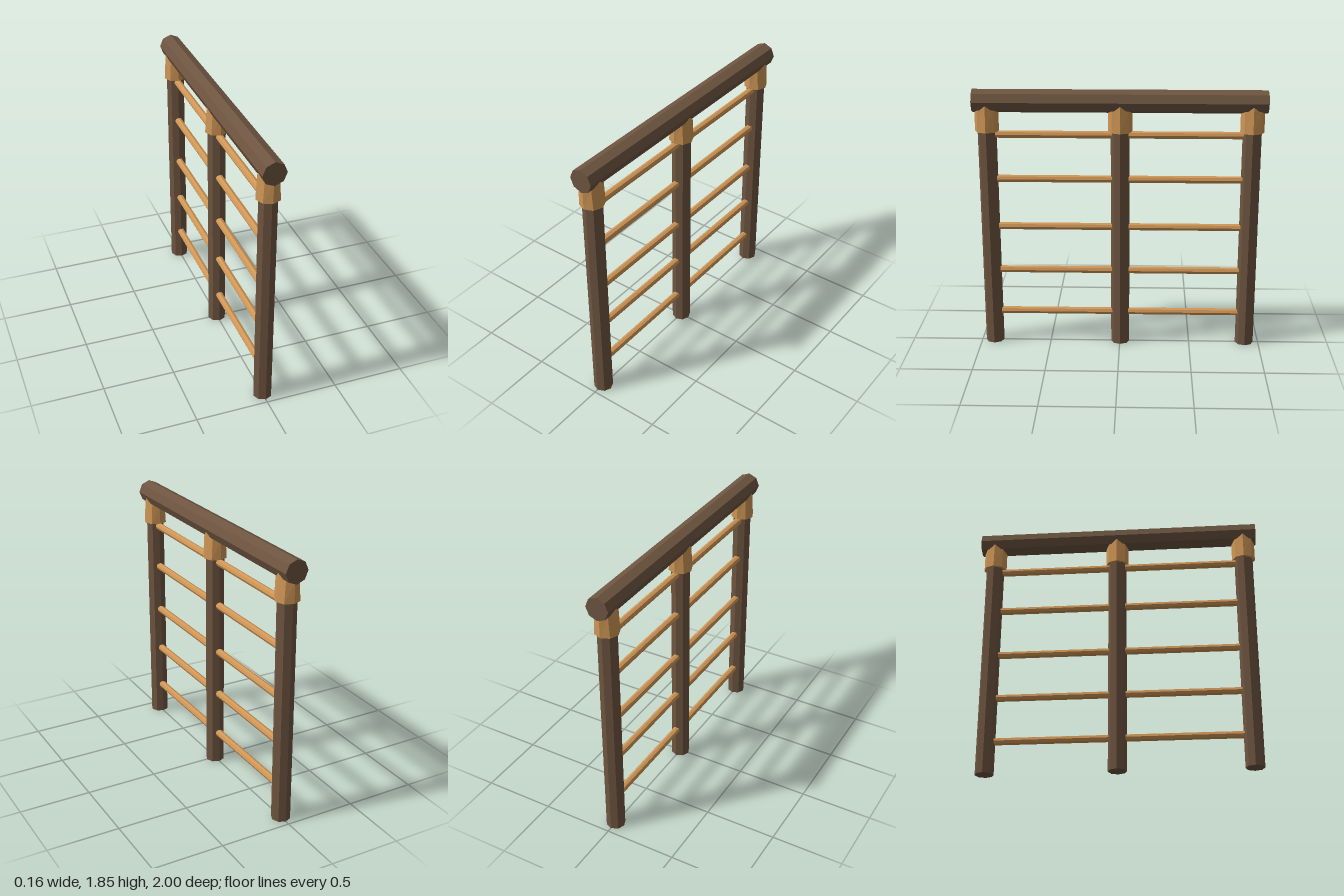
import * as THREE from 'three';

export function createModel() {
  const group = new THREE.Group();
  const darkWood = new THREE.MeshStandardMaterial({ color: 0x6e5540, flatShading: true });
  const lightWood = new THREE.MeshStandardMaterial({ color: 0xcf9656, flatShading: true });

  const add = (name, geometry, material, y, z) => {
    const mesh = new THREE.Mesh(geometry, material);
    mesh.name = name;
    mesh.position.set(0, y, z);
    group.add(mesh);
  };
  // Octagonal pole lying along z
  const poleZ = (radius, length) =>
    new THREE.CylinderGeometry(radius, radius, length, 8).rotateX(Math.PI / 2);

  // Top beam
  add('topBeam', poleZ(0.08, 2), darkWood, 1.77, 0);

  // Collar: octagonal sleeve, narrowing across x, its top rising around the beam
  const collarGeometry = () => {
    const geometry = new THREE.CylinderGeometry(0.082, 0.082, 0.14, 8);
    const p = geometry.attributes.position;
    for (let i = 0; i < p.count; i++) {
      if (p.getY(i) < 0) continue;
      const x = p.getX(i);
      const side = Math.abs(x) / 0.082;
      const rise = side > 0.9 ? 0.05 : side > 0.5 ? 0.015 : 0;
      p.setXYZ(i, x * 0.85, p.getY(i) + rise, p.getZ(i));
    }
    return geometry;
  };

  // Posts with their collars
  const postZ = [0.907, -0.003, -0.9];
  for (const z of postZ) {
    add('post', new THREE.CylinderGeometry(0.065, 0.065, 1.7, 8), darkWood, 0.85, z);
    add('collar', collarGeometry(), lightWood, 1.63, z);
  }

  // Rungs in both bays
  const rungY = [0.233, 0.55, 0.875, 1.222, 1.537];
  for (let bay = 0; bay < 2; bay++) {
    const start = postZ[bay] - 0.058;
    const end = postZ[bay + 1] + 0.056;
    for (const y of rungY) {
      add('rung', poleZ(0.026, start - end), lightWood, y, (start + end) / 2);
    }
  }
  return group;
}
